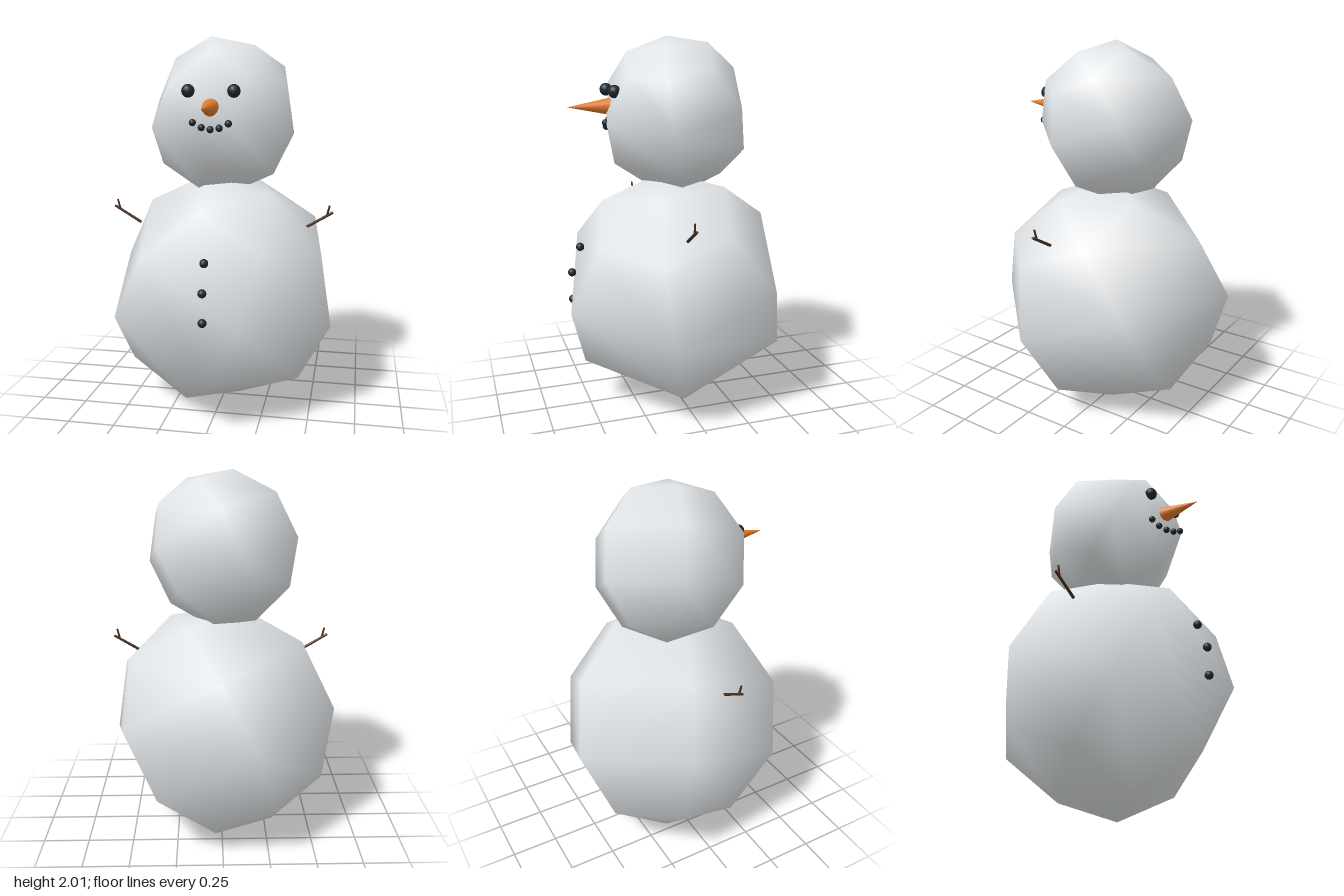
import * as THREE from 'three';

const mat = (name, color) => {
  const m = new THREE.MeshStandardMaterial({ color });
  m.name = name;
  return m;
};

export function createModel() {
  const snow = mat('snow', 0xe8ecef);
  const coal = mat('coal', 0x1b2731);
  const carrot = mat('carrot', 0xe07b2c);
  const bark = mat('bark', 0x4a2f1c);
  const model = new THREE.Group();
  model.name = 'snowman';

  const add = (name, geometry, material, parent = model) => {
    const mesh = new THREE.Mesh(geometry, material);
    mesh.name = name;
    parent.add(mesh);
    return mesh;
  };
  const deg = THREE.MathUtils.degToRad;

  // Coarse smooth snowballs, both tilted the same way
  const snowball = (name, radius, y) => {
    const geo = new THREE.SphereGeometry(radius, 6, 5);
    geo.rotateY(deg(13)).rotateZ(deg(-30)).rotateY(deg(-30));
    add(name, geo, snow).position.y = y;
  };
  snowball('body', 0.648, 0.635);
  snowball('head', 0.416, 1.594);

  // Coal lumps
  const lump = (name, radius, x, y, z) =>
    add(name, new THREE.SphereGeometry(radius, 16, 12), coal).position.set(x, y, z);
  lump('rightEye', 0.033, -0.115, 1.728, 0.347);
  lump('leftEye', 0.033, 0.115, 1.728, 0.355);
  const mouthY = [1.573, 1.55, 1.542, 1.55, 1.573];
  const mouthZ = [0.338, 0.352, 0.37, 0.386, 0.4];
  mouthY.forEach((y, i) => lump('mouthCoal', 0.018, (i - 2) * 0.048, y, mouthZ[i]));
  [[0.908, 0.532], [0.77, 0.58], [0.62, 0.58]].forEach(([y, z]) => lump('button', 0.022, 0, y, z));

  // Carrot nose
  const nose = add('nose', new THREE.ConeGeometry(0.044, 0.222, 24), carrot);
  nose.rotation.x = Math.PI / 2;
  nose.position.set(0, 1.647, 0.466);

  // Forked twig arms
  const twig = (parent, name, a, b, r0, r1) => {
    const from = new THREE.Vector3(...a), dir = new THREE.Vector3(...b).sub(from);
    const mesh = add(name, new THREE.CylinderGeometry(r1, r0, dir.length(), 8), bark, parent);
    mesh.position.copy(from).addScaledVector(dir, 0.5);
    mesh.quaternion.setFromUnitVectors(new THREE.Vector3(0, 1, 0), dir.normalize());
  };
  for (const s of [1, -1]) {
    const arm = new THREE.Group();
    arm.name = s > 0 ? 'leftArm' : 'rightArm';
    model.add(arm);
    twig(arm, 'branch', [s * 0.45, 1.01, 0.085], [s * 0.597, 1.098, 0.087], 0.008, 0.007);
    twig(arm, 'fork', [s * 0.566, 1.076, 0.087], [s * 0.58, 1.135, 0.09], 0.006, 0.005);
  }
  return model;
}
